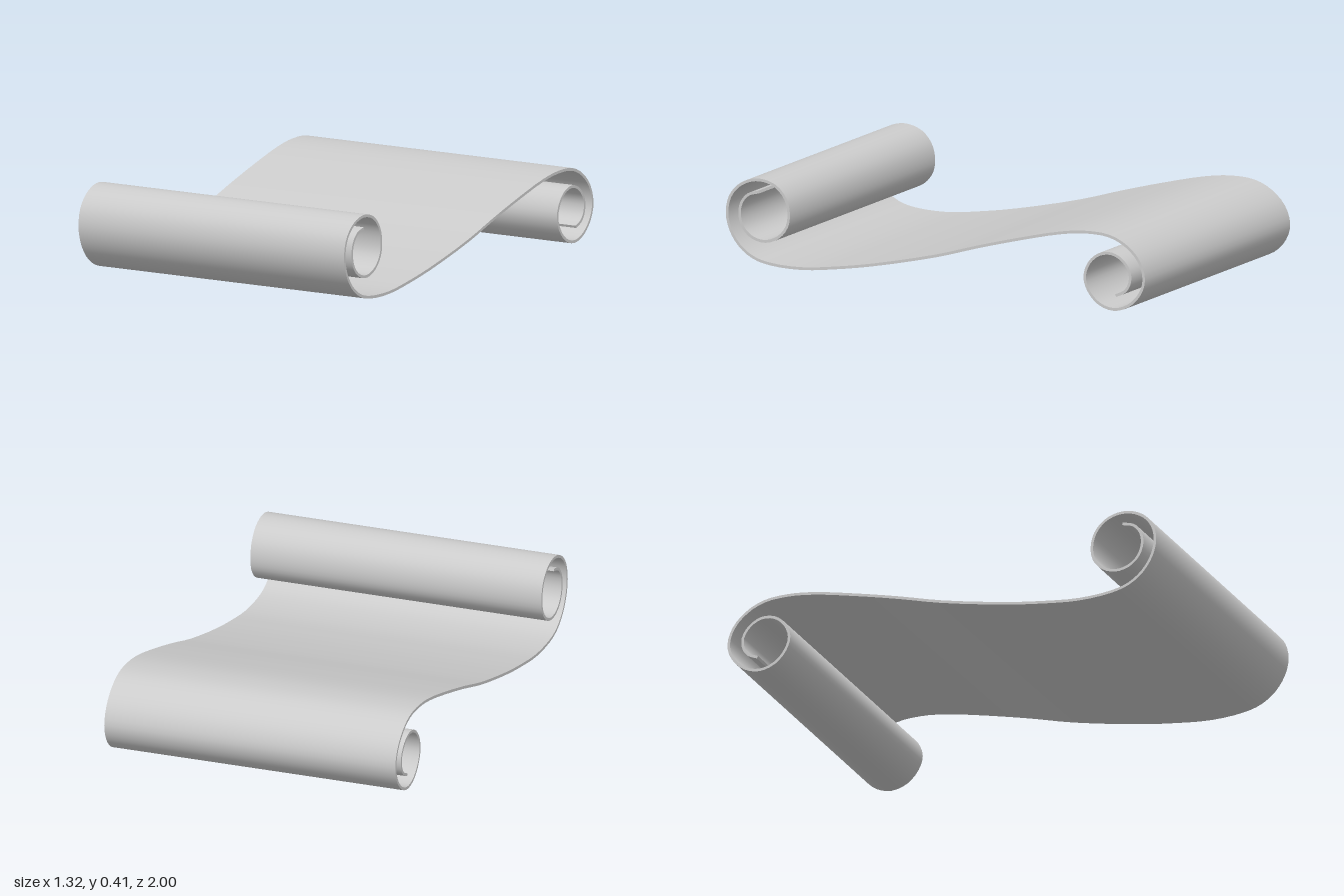
import * as THREE from 'three';
import { toCreasedNormals } from 'three/addons/utils/BufferGeometryUtils.js';

const WIDTH = 1.32;
const THICKNESS = 0.012;

// Centreline of the sheet as (z, y): front curl, sloping middle, back curl
const FRONT_CURL = [
  [0.842, 0.353], [0.892, 0.338], [0.925, 0.3], [0.934, 0.245], [0.915, 0.19], [0.87, 0.153],
  [0.81, 0.143], [0.75, 0.166], [0.709, 0.215], [0.7, 0.275], [0.716, 0.335], [0.76, 0.383],
  [0.82, 0.404], [0.88, 0.4], [0.94, 0.37], [0.98, 0.32], [0.994, 0.25], [0.978, 0.18],
  [0.935, 0.115], [0.87, 0.069],
];
const MIDDLE = [
  [0.79, 0.048], [0.64, 0.042], [0.48, 0.06], [0.3, 0.09], [0, 0.157], [-0.2, 0.215],
  [-0.4, 0.268], [-0.6, 0.314], [-0.72, 0.328], [-0.83, 0.321],
];
const BACK_CURL = [
  [-0.91, 0.285], [-0.97, 0.225], [-0.994, 0.15], [-0.975, 0.085], [-0.92, 0.029], [-0.85, 0.007],
  [-0.78, 0.026], [-0.73, 0.077], [-0.712, 0.135], [-0.732, 0.195], [-0.78, 0.237], [-0.84, 0.246],
  [-0.895, 0.219], [-0.927, 0.17], [-0.924, 0.12], [-0.9, 0.087], [-0.86, 0.068],
];

// Closed outline: the centreline offset to both sides
function sheetOutline(samples) {
  const curve = new THREE.CatmullRomCurve3(
    [...FRONT_CURL, ...MIDDLE, ...BACK_CURL].map(([z, y]) => new THREE.Vector3(z, y, 0)));
  const one = [], other = [];
  for (let i = 0; i <= samples; i++) {
    const p = curve.getPoint(i / samples);
    const t = curve.getTangent(i / samples);
    const dx = -t.y * THICKNESS / 2, dy = t.x * THICKNESS / 2;
    one.push(new THREE.Vector2(p.x + dx, p.y + dy));
    other.push(new THREE.Vector2(p.x - dx, p.y - dy));
  }
  return new THREE.Shape([...one, ...other.reverse()]);
}

export function createModel() {
  const group = new THREE.Group();
  group.name = 'scroll';

  // Rolled sheet, swept across its width
  const geometry = new THREE.ExtrudeGeometry(sheetOutline(138), { depth: WIDTH, bevelEnabled: false });
  geometry.translate(0, 0, -WIDTH / 2);
  geometry.rotateY(-Math.PI / 2);
  const sheet = new THREE.Mesh(
    toCreasedNormals(geometry, 0.8),
    new THREE.MeshStandardMaterial({ color: 0xcccccc }));
  sheet.name = 'sheet';
  group.add(sheet);

  return group;
}
